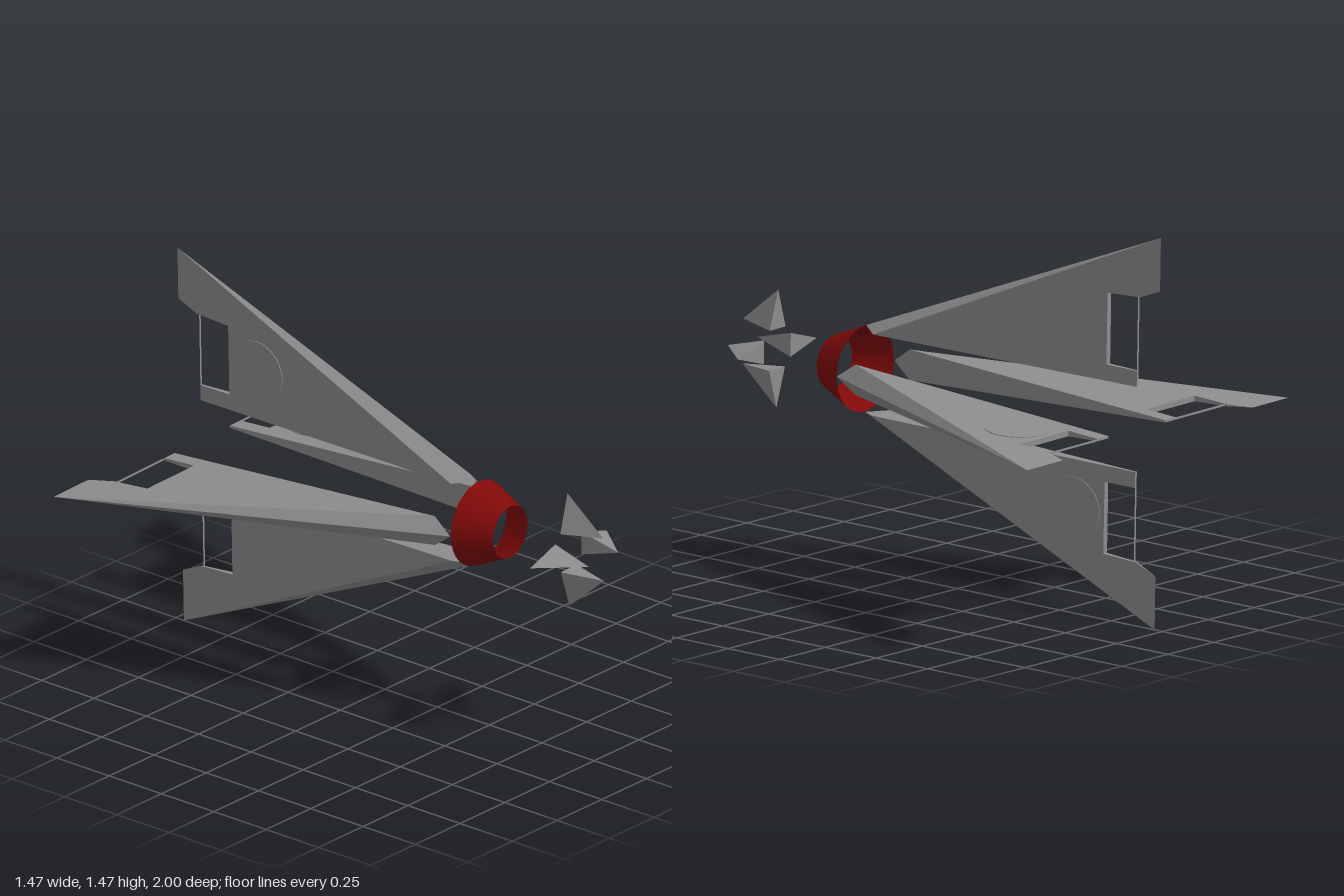
import * as THREE from 'three';
import { ConvexGeometry } from 'three/addons/geometries/ConvexGeometry.js';

const SLOPE = 0.0435; // half thickness of a fin per unit of length
const grey = new THREE.MeshStandardMaterial({ color: 0x8d8d8d, flatShading: true, side: THREE.DoubleSide });
const red = new THREE.MeshStandardMaterial({ color: 0x800909, side: THREE.DoubleSide });

function mesh(name, geometry, material = grey) {
  const m = new THREE.Mesh(geometry, material);
  m.name = name;
  return m;
}

function hull(points) {
  return new ConvexGeometry(points.map((p) => new THREE.Vector3(...p)));
}

// Wedge-shaped blade lying along +x, thick at the front and sharp at the rear
function bladeGeometry() {
  const outline = [[0.735, 0], [0.152, 1.31], [0.16, 0.1], [0.22, 0.1],
    [0.22, 0.24], [0.49, 0.24], [0.497, 0.09], [0.535, 0]];
  const shape = new THREE.Shape(outline.map(([r, z]) => new THREE.Vector2(r, z)));
  const g = new THREE.ExtrudeGeometry(shape, { depth: 2, bevelEnabled: false });
  const p = g.attributes.position;
  for (let i = 0; i < p.count; i++) {
    const z = p.getY(i);
    p.setXYZ(i, p.getX(i), (1 - p.getZ(i)) * SLOPE * z, z);
  }
  g.computeVertexNormals();
  return g;
}

function createFin() {
  const fin = new THREE.Group();
  fin.name = 'fin';
  fin.add(mesh('blade', bladeGeometry()));

  // Bevelled leading edge
  const t = SLOPE * 1.31;
  fin.add(mesh('leadingEdge', hull([[0.163, 0, 1.39], [0.152, t, 1.31], [0.152, -t, 1.31], [0.735, 0, 0]])));

  // Thin strip closing the rear notch
  const strip = mesh('notchStrip', new THREE.PlaneGeometry(0.28, 2 * SLOPE * 0.1));
  strip.position.set(0.36, 0, 0.1);
  fin.add(strip);

  // Slightly raised round panel on one face
  const panel = mesh('roundPanel', new THREE.CylinderGeometry(0.12, 0.12, 0.006, 40));
  panel.rotation.x = -Math.atan(SLOPE);
  panel.position.set(0.345, SLOPE * 0.38, 0.38);
  fin.add(panel);
  return fin;
}

function createNoseFin() {
  return mesh('noseFin', hull([[0.084, 0, 1.975], [0.222, 0, 1.81], [0.075, 0.045, 1.81], [0.075, -0.045, 1.81]]));
}

export function createModel() {
  const model = new THREE.Group();
  model.name = 'finnedDart';

  // Four rear fins and four nose fins around the axis
  for (let i = 0; i < 4; i++) {
    const quarter = new THREE.Group();
    quarter.name = 'finPair' + (i + 1);
    quarter.rotation.z = (i * Math.PI) / 2;
    quarter.add(createFin(), createNoseFin());
    model.add(quarter);
  }

  // Open tapered collar
  const collar = mesh('collar', new THREE.CylinderGeometry(0.1, 0.162, 0.147, 32, 1, true), red);
  collar.rotation.x = Math.PI / 2;
  collar.position.z = 1.465;
  model.add(collar);

  // The axis leans slightly up and to the side
  model.rotation.set(-0.021, 0.029, 0);
  model.position.set(0, 0.737, -0.977);

  const root = new THREE.Group();
  root.name = 'model';
  root.add(model);
  return root;
}
